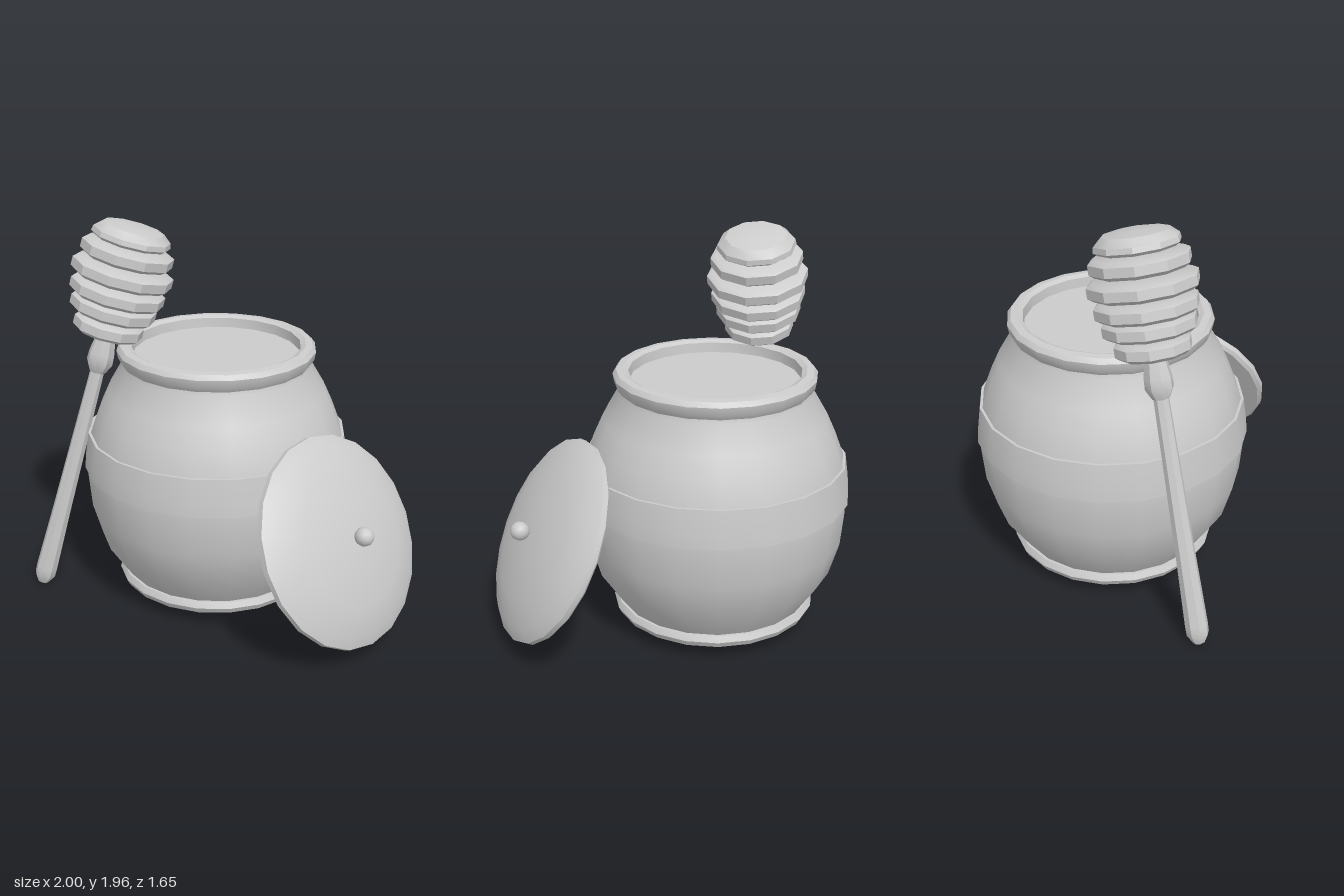
import * as THREE from 'three';
import { toCreasedNormals } from 'three/addons/utils/BufferGeometryUtils.js';

const material = new THREE.MeshStandardMaterial({ color: 0xcccccc });

// Turned part: profile of [radius, height] from the bottom up, hard edges kept sharp
function turned(name, profile, sides, parent) {
  const points = profile.map(([r, y]) => new THREE.Vector2(r, y));
  const geometry = toCreasedNormals(new THREE.LatheGeometry(points, sides), 0.55);
  const mesh = new THREE.Mesh(geometry, material);
  mesh.name = name;
  parent.add(mesh);
  return mesh;
}

// Group whose own y axis points along the given direction
function tilted(name, position, direction, parent) {
  const group = new THREE.Group();
  group.name = name;
  group.position.set(...position);
  group.quaternion.setFromUnitVectors(
    new THREE.Vector3(0, 1, 0), new THREE.Vector3(...direction).normalize());
  parent.add(group);
  return group;
}

function buildJar(parent) {
  const jar = new THREE.Group();
  jar.name = 'jar';
  jar.position.set(-0.045, 0, -0.15);
  parent.add(jar);

  turned('base', [[0, 0.08], [0.5, 0.08], [0.515, 0.11], [0.5, 0.14], [0.47, 0.14]], 20, jar);
  turned('body', [
    [0.48, 0.13], [0.6, 0.31], [0.65, 0.48], [0.667, 0.66], [0.665, 0.74],
    [0.645, 0.89], [0.6, 1.01], [0.555, 1.11], [0.48, 1.24], [0.475, 1.27],
  ], 20, jar);
  turned('band', [[0.66, 0.7], [0.68, 0.7], [0.675, 0.77], [0.658, 0.89], [0.64, 0.89]], 20, jar);
  // Rolled lip, carried over into the inner wall
  turned('lip', [
    [0.47, 1.25], [0.495, 1.285], [0.502, 1.325], [0.485, 1.348],
    [0.45, 1.352], [0.425, 1.34], [0.42, 1.28],
  ], 20, jar);
  turned('honey', [[0.43, 1.29], [0, 1.29]], 20, jar);
}

function buildLid(parent) {
  // Lid leaning against the side of the jar
  const lid = tilted('lid', [0.645, 0.555, 0.355], [0.75, 0.46, 0.475], parent);
  turned('lidDome', [
    [0, -0.025], [0.5, -0.025], [0.517, -0.01], [0.517, 0.018],
    [0.46, 0.055], [0.33, 0.095], [0.17, 0.12], [0, 0.128],
  ], 20, lid);
  const knob = new THREE.Mesh(new THREE.SphereGeometry(0.047, 12, 8), material);
  knob.name = 'knob';
  knob.position.y = 0.17;
  lid.add(knob);
}

function buildDipper(parent) {
  const dipper = tilted('dipper', [-0.955, 0.005, 0.07], [0.265, 1, -0.1], parent);
  turned('handle', [
    [0, 0], [0.03, 0.005], [0.055, 0.05], [0.056, 0.1], [0.048, 0.45], [0.036, 1.26],
  ], 8, dipper);
  turned('collar', [
    [0, 1.22], [0.042, 1.23], [0.068, 1.28], [0.066, 1.33], [0.05, 1.42], [0, 1.42],
  ], 8, dipper);
  turned('core', [[0.032, 1.4], [0.032, 1.47], [0.07, 1.48], [0.07, 1.93]], 8, dipper);

  // Grooved head: stacked discs with bevelled edges
  [[0.178, 1.475], [0.218, 1.575], [0.24, 1.66], [0.256, 1.76], [0.233, 1.86]]
    .forEach(([r, y], i) => {
      turned('headDisc' + (i + 1), [
        [0, y - 0.04], [r - 0.025, y - 0.04], [r, y - 0.022],
        [r, y + 0.022], [r - 0.025, y + 0.036], [0, y + 0.036],
      ], 10, dipper);
    });
  turned('headCap', [
    [0, 1.915], [0.18, 1.915], [0.2, 1.93], [0.195, 1.955], [0.155, 1.99], [0.08, 2.003], [0, 2.006],
  ], 10, dipper);
}

export function createModel() {
  const model = new THREE.Group();
  model.name = 'honeyPot';
  buildJar(model);
  buildLid(model);
  buildDipper(model);
  return model;
}
